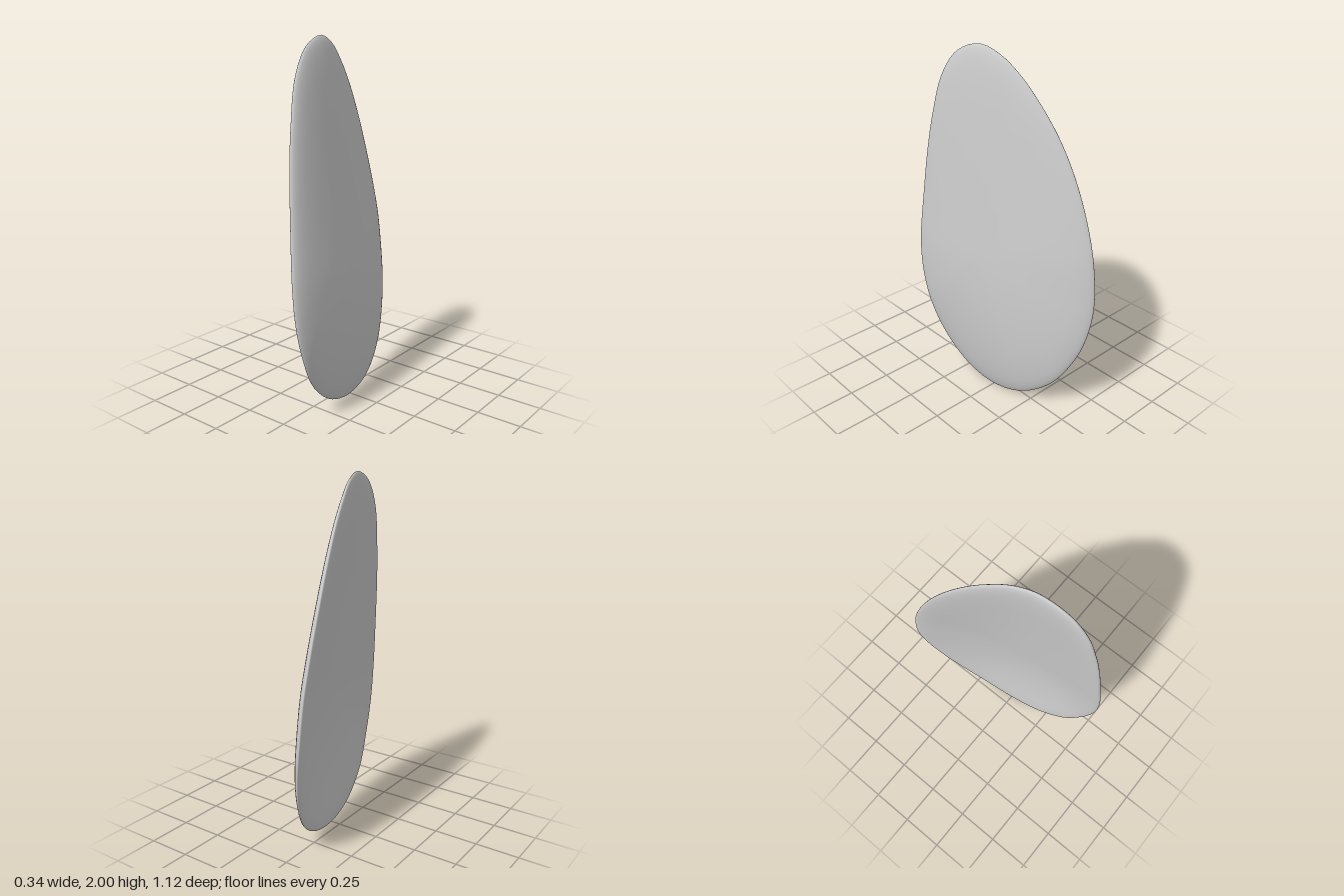
import * as THREE from 'three';
import { mergeVertices } from 'three/addons/utils/BufferGeometryUtils.js';

// Rim of the shell as [x, y, z], from the back edge over the top to the front and under
const rimPoints = [
  [-0.142, 0.7, -0.562], [-0.152, 0.95, -0.535], [-0.153, 1.17, -0.475], [-0.143, 1.4, -0.385],
  [-0.12, 1.6, -0.28], [-0.087, 1.77, -0.16], [-0.06, 1.88, -0.06], [-0.028, 1.965, 0.05],
  [0, 2, 0.17], [0.028, 1.94, 0.32], [0.05, 1.8, 0.42], [0.071, 1.6, 0.475],
  [0.089, 1.4, 0.51], [0.114, 1.1, 0.54], [0.137, 0.8, 0.56], [0.142, 0.6, 0.545],
  [0.137, 0.4, 0.49], [0.112, 0.2, 0.38], [0.085, 0.05, 0.2], [0.06, 0, 0],
  [0.027, 0.04, -0.2], [-0.028, 0.17, -0.38], [-0.085, 0.37, -0.5], [-0.118, 0.53, -0.547],
];

// Sideways dome of the middle of the shell
function dome(z, y) {
  return 0.104 + 0.25 * z - 0.45 * z * z - 0.083 * (y - 0.7) - 0.04 * (y - 0.7) ** 2;
}

// A sphere flattened into a thin domed shell that meets the rim with a blunt, rounded lip
function shellGeometry() {
  const around = 128;
  const curve = new THREE.CatmullRomCurve3(
    rimPoints.map((point) => new THREE.Vector3(...point)), true);
  const rim = curve.getSpacedPoints(around);
  const centre = new THREE.Vector3(0, 0.9, 0.03);
  const geometry = new THREE.SphereGeometry(1, around, 96);
  const { position, uv } = geometry.attributes;
  const p = new THREE.Vector3();
  for (let i = 0; i < position.count; i++) {
    const side = Math.sign(position.getY(i));
    const r = Math.min(1, Math.hypot(position.getX(i), position.getZ(i)));
    const step = ((Math.round(uv.getX(i) * around) % around) + around) % around;
    const edge = rim[step];
    p.lerpVectors(centre, edge, r);
    const middle = dome(p.z, p.y) + r * r * (edge.x - dome(edge.z, edge.y));
    const half = 0.03 * Math.sqrt(Math.max(0, 1 - r ** 10));
    position.setXYZ(i, middle + side * half, Math.max(0, p.y), p.z);
  }
  geometry.deleteAttribute('uv');
  geometry.deleteAttribute('normal');
  const smooth = mergeVertices(geometry, 1e-5);
  smooth.computeVertexNormals();
  return smooth;
}

export function createModel() {
  const group = new THREE.Group();
  const shell = new THREE.Mesh(
    shellGeometry(), new THREE.MeshStandardMaterial({ color: 0xcccccc }));
  shell.name = 'curvedShell';
  group.add(shell);
  return group;
}
